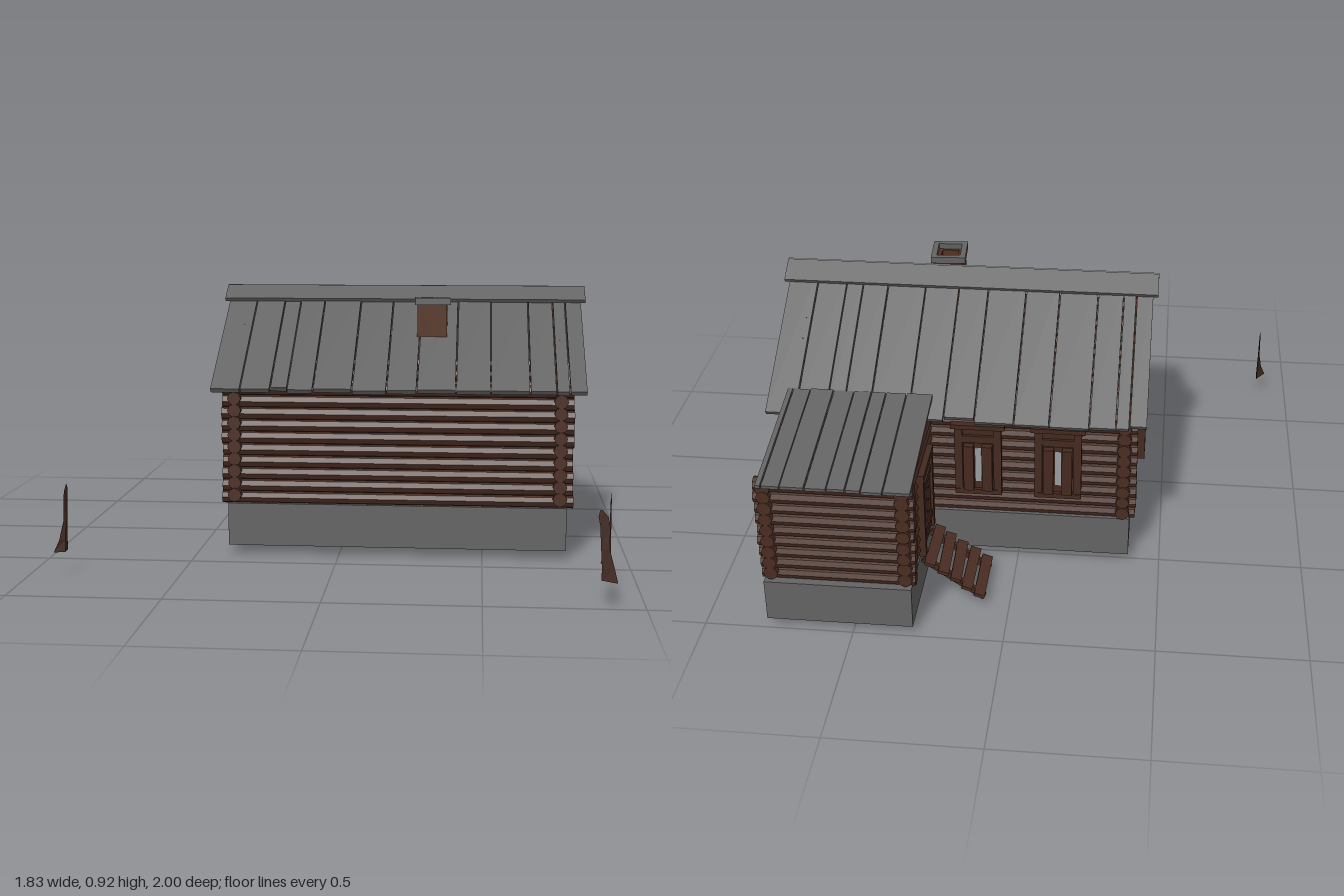
import * as THREE from 'three';

const mat = (name, color, side = THREE.FrontSide) => {
  const m = new THREE.MeshStandardMaterial({ color, side, flatShading: true });
  m.name = name;
  return m;
};

export function createModel() {
  const grey = mat('weathered grey', 0x636363);
  const logBrown = mat('log brown', 0x4a2d22);
  const trim = mat('trim brown', 0x44291f);
  const brick = mat('chimney brown', 0x54321f);
  const pane = mat('pale pane', 0x9a9da0);
  const splinter = mat('splinter brown', 0x40291f, THREE.DoubleSide);

  let seed = 7;
  const rnd = () => (seed = (seed * 16807) % 2147483647) / 2147483647;

  const root = new THREE.Group();
  root.name = 'logCabin';
  const group = (name, parent = root) => {
    const g = new THREE.Group();
    g.name = name;
    parent.add(g);
    return g;
  };
  const add = (parent, name, geo, material, x = 0, y = 0, z = 0) => {
    const m = new THREE.Mesh(geo, material);
    m.name = name;
    m.position.set(x, y, z);
    parent.add(m);
    return m;
  };
  const box = (parent, name, w, h, d, material, x, y, z) =>
    add(parent, name, new THREE.BoxGeometry(w, h, d), material, x, y, z);

  // Stone base: an L footprint, with an uneven lower edge on the +x side
  const outline = [[-0.39, 0.37], [0.79, 0.37], [0.79, 0.18], [0.79, 0], [0.79, -0.17], [0.79, -0.35],
    [0.79, -0.99], [0.3, -0.99], [0.3, -0.52], [-0.39, -0.52]];
  const baseGeo = new THREE.ExtrudeGeometry(
    new THREE.Shape(outline.map(([x, z]) => new THREE.Vector2(x, -z))), { depth: 0.15, bevelEnabled: false });
  baseGeo.rotateX(-Math.PI / 2).translate(0, 0.03, 0);
  const bp = baseGeo.attributes.position;
  for (let i = 0; i < bp.count; i++) {
    if (bp.getX(i) < 0.78 || bp.getY(i) > 0.1) continue;
    if (Math.abs(bp.getZ(i) + 0.17) < 0.01) bp.setY(i, 0);
    if (Math.abs(bp.getZ(i) - 0.18) < 0.01) bp.setY(i, 0.02);
  }
  baseGeo.computeVertexNormals();
  add(root, 'foundation', baseGeo, grey);

  // Log walls: alternating courses, crossing at the corners
  const R = 0.0235, STEP = 0.0425;
  const log = (parent, axis, from, to, fixed, y) => {
    const r = R * (0.98 + rnd() * 0.08), mid = (from + to) / 2;
    const geo = new THREE.CylinderGeometry(r, r, to - from + (rnd() - 0.5) * 0.012, 8);
    if (axis === 'x') add(parent, 'log', geo.rotateZ(Math.PI / 2), logBrown, mid, y, fixed);
    else add(parent, 'log', geo.rotateX(Math.PI / 2), logBrown, fixed, y, mid);
  };
  const SLOPE = 0.61, RIDGE_Z = -0.08;
  const frontWall = group('frontWall'), backWall = group('backWall');
  for (let i = 0; i < 10; i++) {
    log(frontWall, 'x', -0.41, 0.81, 0.345, 0.2 + i * STEP);
    log(backWall, 'x', -0.41, 0.81, -0.495, 0.2 + i * STEP);
  }
  for (const x of [-0.365, 0.765]) {
    const wall = group('gableWall');
    for (let y = 0.2; y < 0.86; y += STEP) {
      const half = (0.872 - y) / SLOPE;
      if (half > 0.03) log(wall, 'z', Math.max(-0.535, RIDGE_Z - half), Math.min(0.385, RIDGE_Z + half), x, y + 0.012);
    }
  }
  const annex = group('annexWalls');
  for (let i = 0; i < 9; i++) {
    const y = 0.2 + i * STEP;
    log(annex, 'x', 0.285, 0.8, -0.95, y);
    for (const x of [0.32, 0.765]) log(annex, 'z', -0.985, -0.5, x, y + (i < 8 ? 0.012 : 0));
  }
  log(annex, 'x', 0.3, 0.78, -0.71, 0.587);

  // Plank roofs: boards with narrow gaps and ragged lower ends
  const planks = (parent, x0, x1, length, thick, widths, ragged) => {
    const total = widths.reduce((a, b) => a + b, 0);
    let x = x0;
    for (const part of widths) {
      const w = (part / total) * (x1 - x0), l = length + (rnd() - 0.5) * ragged;
      box(parent, 'roofPlank', w - 0.004, thick, l, grey, x + w / 2, (rnd() - 0.5) * 0.004, l / 2);
      x += w;
    }
  };
  const MID = 0.205, ANGLE = Math.atan(SLOPE);
  for (const side of [0, 1]) {
    const holder = group(side ? 'backRoof' : 'frontRoof');
    holder.position.set(MID, 0.9, RIDGE_Z);
    holder.rotation.y = side * Math.PI;
    const slope = group('roofSlope', holder);
    slope.rotation.x = ANGLE;
    planks(slope, -0.645, 0.645, 0.597, 0.016, [7, 7, 4, 6, 9, 8, 7, 9, 8, 9, 6, 3, 4], 0.018);
    box(slope, 'ridgeBoard', 1.32, 0.014, 0.088, grey, 0, 0.014, 0.036);
  }
  const lean = group('annexRoof');
  lean.position.set(0, 0.64, -0.52);
  lean.rotation.set(-Math.atan2(0.08, 0.48), 0, 0);
  const leanTurn = group('annexRoofBoards', lean);
  leanTurn.rotation.y = Math.PI;
  planks(leanTurn, -0.785, -0.285, 0.487, 0.012, [2, 6, 8, 7, 6, 5, 7, 9], 0.006);

  // Chimney: square flue with a slightly crooked cap
  const ring = (w, d, h, t) => {
    const rect = (a, b) => [[-a, -b], [a, -b], [a, b], [-a, b]].map(([x, y]) => new THREE.Vector2(x, y));
    const s = new THREE.Shape(rect(w / 2, d / 2));
    s.holes.push(new THREE.Path(rect(w / 2 - t, d / 2 - t).reverse()));
    return new THREE.ExtrudeGeometry(s, { depth: h, bevelEnabled: false }).rotateX(-Math.PI / 2);
  };
  const chimney = group('chimney');
  chimney.position.set(0.315, 0, 0.12);
  add(chimney, 'chimneyFlue', ring(0.105, 0.11, 0.175, 0.022), brick, 0, 0.695, 0);
  box(chimney, 'flueFloor', 0.09, 0.01, 0.09, brick, 0, 0.8, 0);
  add(chimney, 'chimneyCap', ring(0.125, 0.13, 0.024, 0.02), grey, 0, 0.865, 0).rotation.set(-0.04, 0.05, 0);

  // Windows: casing, lintel, sill, two boards and a narrow pane; +z points outward
  const window_ = (name, x, y, z, turn, w, h, out = 0) => {
    const g = group(name);
    g.position.set(x, y, z);
    g.rotation.y = turn;
    box(g, 'windowBack', w, h, 0.008, trim, 0, 0, 0);
    for (const s of [-1, 1]) {
      box(g, 'jamb', w * 0.17, h, 0.022, trim, s * w * 0.42, 0, 0.004);
      box(g, 'shutter', w * 0.22, h * 0.66, 0.014 + out, trim, s * w * 0.2, -h * 0.1, (0.01 + out) / 2);
    }
    box(g, 'lintel', w * 1.16, h * 0.06, 0.032, trim, 0, h / 2, 0.006);
    box(g, 'crossBoard', w * 0.7, h * 0.1, 0.018, trim, 0, h * 0.31, 0.005);
    box(g, 'sill', w, h * 0.07, 0.024, trim, 0, -h * 0.47, 0.005);
    box(g, 'pane', w * 0.13, h * 0.5, 0.004, pane, 0, -h * 0.08, 0.004);
  };
  const Q = Math.PI / 2;
  window_('sideWindow', 0.79, 0.395, 0.095, Q, 0.15, 0.28);
  window_('gableWindow', 0.79, 0.7, -0.07, Q, 0.115, 0.12);
  for (const z of [-0.22, 0.11]) window_('farSideWindow', -0.39, 0.385, z, -Q, 0.16, 0.26, 0.03);
  for (const x of [-0.14, 0.135]) window_('backWindow', x, 0.4, -0.52, Math.PI, 0.16, 0.27, 0.015);

  // Plank door of the annex
  const door = group('annexDoor');
  door.position.set(0.295, 0.34, -0.71);
  for (let i = 0; i < 4; i++) box(door, 'doorPlank', 0.016, 0.29, 0.036, trim, 0, 0, -0.057 + i * 0.038);
  for (const s of [-1, 1]) {
    box(door, 'doorPost', 0.03, 0.31, 0.022, trim, -0.002, 0, s * 0.088);
    box(door, 'doorBrace', 0.026, 0.025, 0.14, trim, 0, s * 0.09, 0);
  }
  box(door, 'doorLintel', 0.034, 0.022, 0.2, trim, -0.002, 0.155, 0);

  // Entry steps: two stringers and worn treads going down toward -x
  const steps = group('entrySteps');
  for (const z of [-0.79, -0.63]) {
    box(steps, 'stringer', 0.25, 0.022, 0.016, trim, 0.19, 0.092, z).rotation.z = 0.61;
  }
  for (let i = 0; i < 5; i++) {
    const t = box(steps, 'tread', 0.037, 0.012, 0.225, logBrown, 0.1 + i * 0.041, 0.045 + i * 0.029, -0.712);
    t.rotation.set((rnd() - 0.5) * 0.04, (rnd() - 0.5) * 0.05, 0.3);
  }

  // Broken fence stakes: thin bent blades flaring at the foot
  // each level: y, bend along z, half width, flare along -x
  const levels = [[0.08, 0.012, 0.024, 0.035], [0.12, 0.008, 0.019, 0.018], [0.18, -0.002, 0.013, 0.007],
    [0.25, -0.004, 0.015, 0.005], [0.28, -0.01, 0.015, 0.004], [0.3, -0.016, 0.004, 0.002]];
  const pos = [], idx = [];
  levels.forEach(([y, bend, w, flare], i) => {
    pos.push(-flare, y, bend + w, 0, y, bend - w, 0, y, bend + w * 0.4);
    if (i) for (let k = 0; k < 3; k++) {
      const a = (i - 1) * 3 + k, b = (i - 1) * 3 + (k + 1) % 3;
      idx.push(a, a + 3, b, b, a + 3, b + 3);
    }
  });
  const top = (levels.length - 1) * 3;
  idx.push(0, 1, 2, top, top + 2, top + 1);
  const stakeGeo = new THREE.BufferGeometry();
  stakeGeo.setAttribute('position', new THREE.Float32BufferAttribute(pos, 3));
  stakeGeo.setIndex(idx);
  stakeGeo.computeVertexNormals();
  for (const [x, z, turn] of [[-0.878, 0.71, 0], [0.912, 0.71, 0], [0.875, 0.962, Q]]) {
    add(root, 'brokenStake', stakeGeo, splinter, x, 0, z).rotation.y = turn;
  }
  return root;
}
